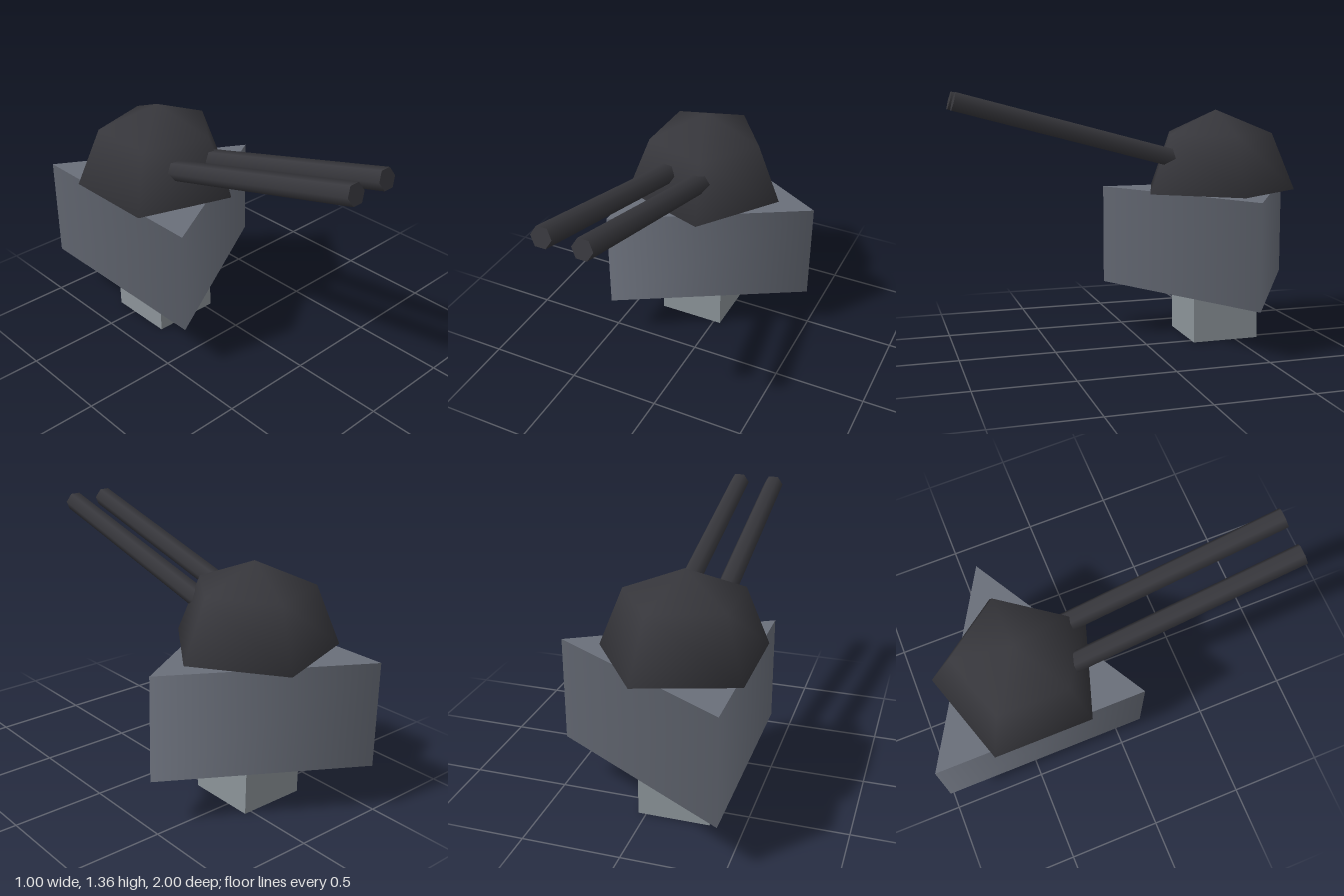
import * as THREE from 'three';

export function createModel() {
  const group = new THREE.Group();
  group.name = 'gunTurret';

  const material = (name, color, side = THREE.FrontSide) => {
    const m = new THREE.MeshStandardMaterial({ color, side });
    m.name = name;
    return m;
  };
  const paleGrey = material('paleGrey', 0x8c9499);
  const slateGrey = material('slateGrey', 0x6a6f7a);
  const charcoal = material('charcoal', 0x37373c, THREE.DoubleSide);

  const add = (name, geometry, mat, x, y, z) => {
    const mesh = new THREE.Mesh(geometry, mat);
    mesh.name = name;
    mesh.position.set(x, y, z);
    group.add(mesh);
    return mesh;
  };

  // Shared vertical axis of foot, body and dome
  const cx = -0.145;
  const cz = -0.443;

  // Square foot, its top sunk into the body
  add('foot', new THREE.BoxGeometry(0.37, 0.37, 0.37), paleGrey, cx, 0.185, cz);

  // Three-sided body with one corner towards +x
  add('body', new THREE.CylinderGeometry(0.643, 0.643, 0.553, 3, 1, false, Math.PI / 2),
    slateGrey, cx, 0.5385, cz);

  // Five-sided open dome, smooth shaded, one corner towards +x
  add('dome', new THREE.SphereGeometry(0.44, 5, 2, Math.PI, Math.PI * 2, 0, Math.PI / 2),
    charcoal, cx, 0.815, cz);

  // Twin six-sided barrels, raised 15 degrees, rear ends inside the dome
  const tilt = THREE.MathUtils.degToRad(15);
  const length = 1.35;
  const barrelShape = new THREE.CylinderGeometry(0.054, 0.054, length, 6, 1, false, Math.PI / 2);
  for (const [name, x] of [['rightBarrel', -0.247], ['leftBarrel', -0.043]]) {
    const barrel = add(name, barrelShape, charcoal, x,
      1.311 - Math.sin(tilt) * length / 2, 0.988 - Math.cos(tilt) * length / 2);
    barrel.rotation.x = Math.PI / 2 - tilt;
  }

  return group;
}
